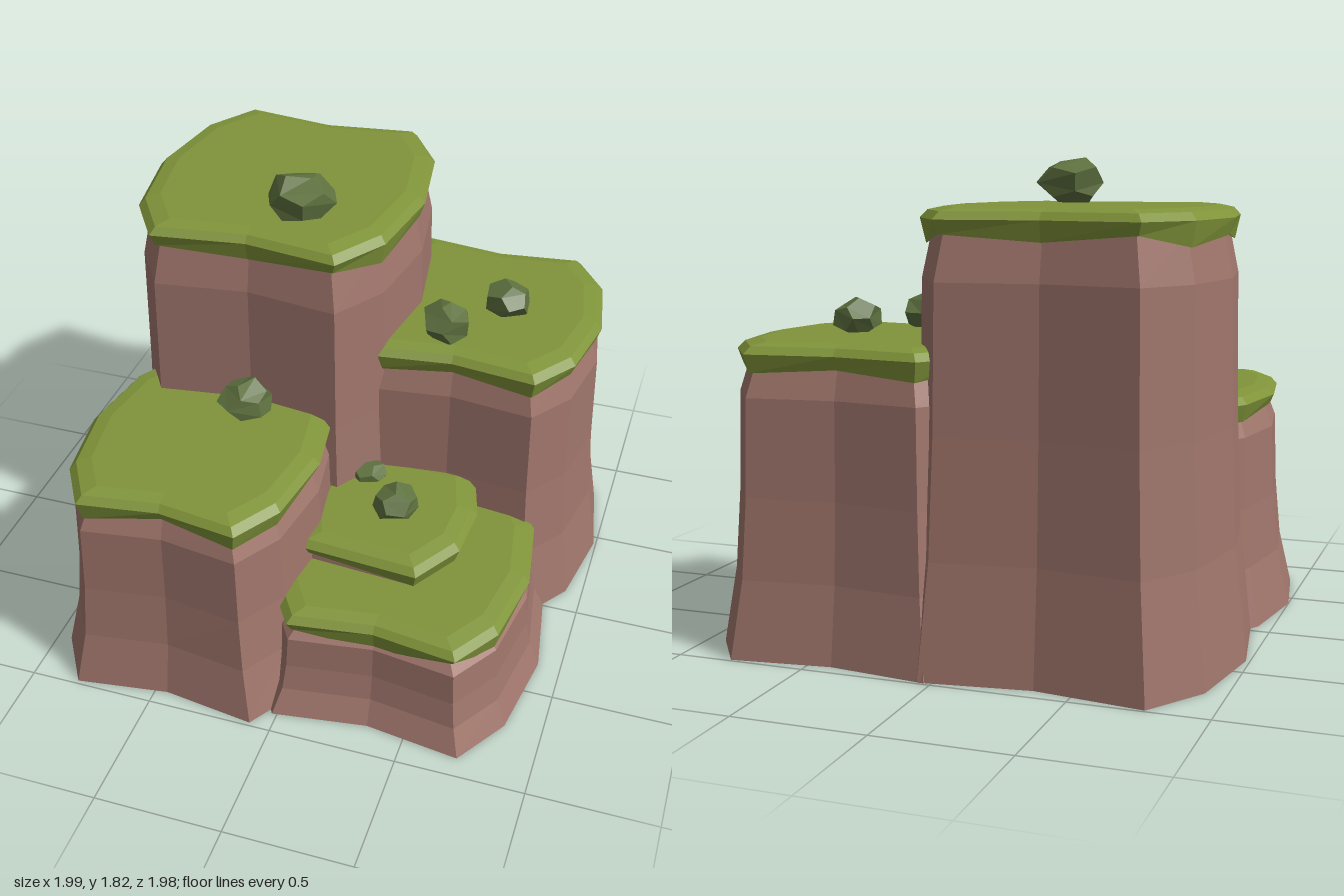
import * as THREE from 'three';

const flat = (name, color, opts = {}) => {
  const m = new THREE.MeshStandardMaterial({ color, flatShading: true, ...opts });
  m.name = name;
  return m;
};

// Twelve-sided outline of a rock column in unit size, clockwise seen from above
const OUTLINE = [
  [1, 0], [0.9, 0.63], [0.66, 1], [0, 0.91], [-0.66, 1], [-0.9, 0.63],
  [-1, 0], [-0.9, -0.63], [-0.66, -1], [0, -0.91], [0.66, -1], [0.9, -0.63],
];

// Closed, faceted solid through rings of [x, y, z] points, listed bottom to top
function loft(rings) {
  const pos = [];
  const tri = (...pts) => pts.forEach((p) => pos.push(...p));
  const middle = (ring) => [0, 1, 2].map((k) => ring.reduce((s, p) => s + p[k], 0) / ring.length);
  const n = rings[0].length;
  const top = rings[rings.length - 1];
  const lowMid = middle(rings[0]), topMid = middle(top);
  for (let i = 0; i < n; i++) {
    const j = (i + 1) % n;
    for (let r = 0; r < rings.length - 1; r++) {
      const a = rings[r], b = rings[r + 1];
      tri(a[i], b[i], a[j]);
      tri(a[j], b[i], b[j]);
    }
    tri(lowMid, rings[0][i], rings[0][j]);
    tri(topMid, top[j], top[i]);
  }
  const geo = new THREE.BufferGeometry();
  geo.setAttribute('position', new THREE.Float32BufferAttribute(pos, 3));
  geo.computeVertexNormals();
  return geo;
}

const ring = (outline, cx, cz, w, d, y) =>
  outline.map(([x, z], i) => [cx + x * w, typeof y === 'function' ? y(i) : y, cz + z * d]);

// Grass slab with bevelled top and uneven hanging hem
function grassCap(outline, cx, cz, w, d, top, drops) {
  const at = (inset, y) => ring(outline, cx, cz, w - inset, d - inset, y);
  return loft([
    at(0.1, top - 0.06),
    at(0.02, (i) => top - drops[i % drops.length]),
    at(0, top - 0.04),
    at(0.025, top - 0.012),
    at(0.08, top),
  ]);
}

export function createModel() {
  const model = new THREE.Group();
  model.name = 'terracedCliff';
  const stone = flat('red brown stone', 0xa0766c);
  const grass = flat('grass green', 0x80943a);
  const bush = flat('dark moss green', 0x5f7240);

  const add = (name, geo, mat) => {
    const mesh = new THREE.Mesh(geo, mat);
    mesh.name = name;
    model.add(mesh);
    return mesh;
  };

  // Four cliff columns: base and rim half sizes, cap top and hem drops
  const hem = [0.1, 0.13, 0.085, 0.115, 0.09, 0.13];
  const columns = [
    { name: 'tall', c: [-0.36, -0.37], base: [0.625, 0.62], rim: [0.55, 0.555], top: 1.65, drops: hem },
    { name: 'middle', c: [0.41, -0.455], base: [0.58, 0.535], rim: [0.505, 0.465], top: 1.16, drops: [0.1, 0.09, 0.115, 0.09, 0.11, 0.1] },
    { name: 'lower', c: [-0.45, 0.42], base: [0.55, 0.565], rim: [0.465, 0.495], top: 0.91, drops: [0.08, 0.11, 0.115, 0.08, 0.12, 0.11] },
    { name: 'front', c: [0.35, 0.34], base: [0.56, 0.575], rim: [0.49, 0.5], top: 0.465, drops: [0.08, 0.14, 0.07, 0.135, 0.08, 0.08] },
  ];
  for (const { name, c, base, rim, top, drops } of columns) {
    const neck = top - 0.08;
    // [height fraction, blend from base to rim, inset]
    const levels = [[0, 0, 0], [0.27, 0.62, 0], [0.55, 0.88, 0], [0.89, 1, 0], [1, 1, 0.035]];
    const rings = levels.map(([h, t, inset]) => ring(
      OUTLINE, ...c,
      base[0] + (rim[0] - base[0]) * t - inset,
      base[1] + (rim[1] - base[1]) * t - inset,
      h * neck,
    ));
    add(name + 'Column', loft(rings), stone);
    add(name + 'GrassCap', grassCap(OUTLINE, ...c, rim[0] + 0.005, rim[1] + 0.005, top, drops), grass);
  }

  // Small step on the front column
  const step = [[1, -0.3], [0.96, 0.4], [0.6, 1], [-0.8, 0.89], [-1, 0.4], [-1, -0.6], [-0.6, -1], [0.8, -1]];
  add('stepStone', loft([
    ring(step, 0.25, 0.25, 0.3, 0.29, 0.44),
    ring(step, 0.25, 0.25, 0.29, 0.28, 0.54),
  ]), stone);
  add('stepGrassCap', grassCap(step, 0.25, 0.25, 0.335, 0.335, 0.59, [0.09, 0.1, 0.1, 0.075]), grass);

  // Mossy boulders: uneven dodecahedra, [x, y, z, width, height, turn]
  const boulders = [
    [-0.21, 1.725, -0.06, 0.135, 0.095, 0.4],
    [0.35, 1.22, -0.16, 0.1, 0.085, 1.3],
    [0.54, 1.215, -0.41, 0.095, 0.078, 2.2],
    [-0.35, 0.965, 0.22, 0.11, 0.078, 0.9],
    [0.285, 0.645, 0.28, 0.095, 0.07, 1.8],
    [0.11, 0.595, 0.08, 0.075, 0.048, 2.9],
  ];
  boulders.forEach(([x, y, z, w, h, turn], k) => {
    const geo = new THREE.DodecahedronGeometry(1);
    const p = geo.attributes.position;
    for (let i = 0; i < p.count; i++) {
      const [a, b, c] = [p.getX(i), p.getY(i), p.getZ(i)];
      const s = 1 + 0.09 * Math.sin(5 * a + 3 * b + 7 * c + k);
      p.setXYZ(i, a * s, b * s, c * s);
    }
    geo.computeVertexNormals();
    const rock = add('boulder' + (k + 1), geo, bush);
    rock.position.set(x, y, z);
    rock.scale.set(w, h, w);
    rock.rotation.y = turn;
  });
  return model;
}
